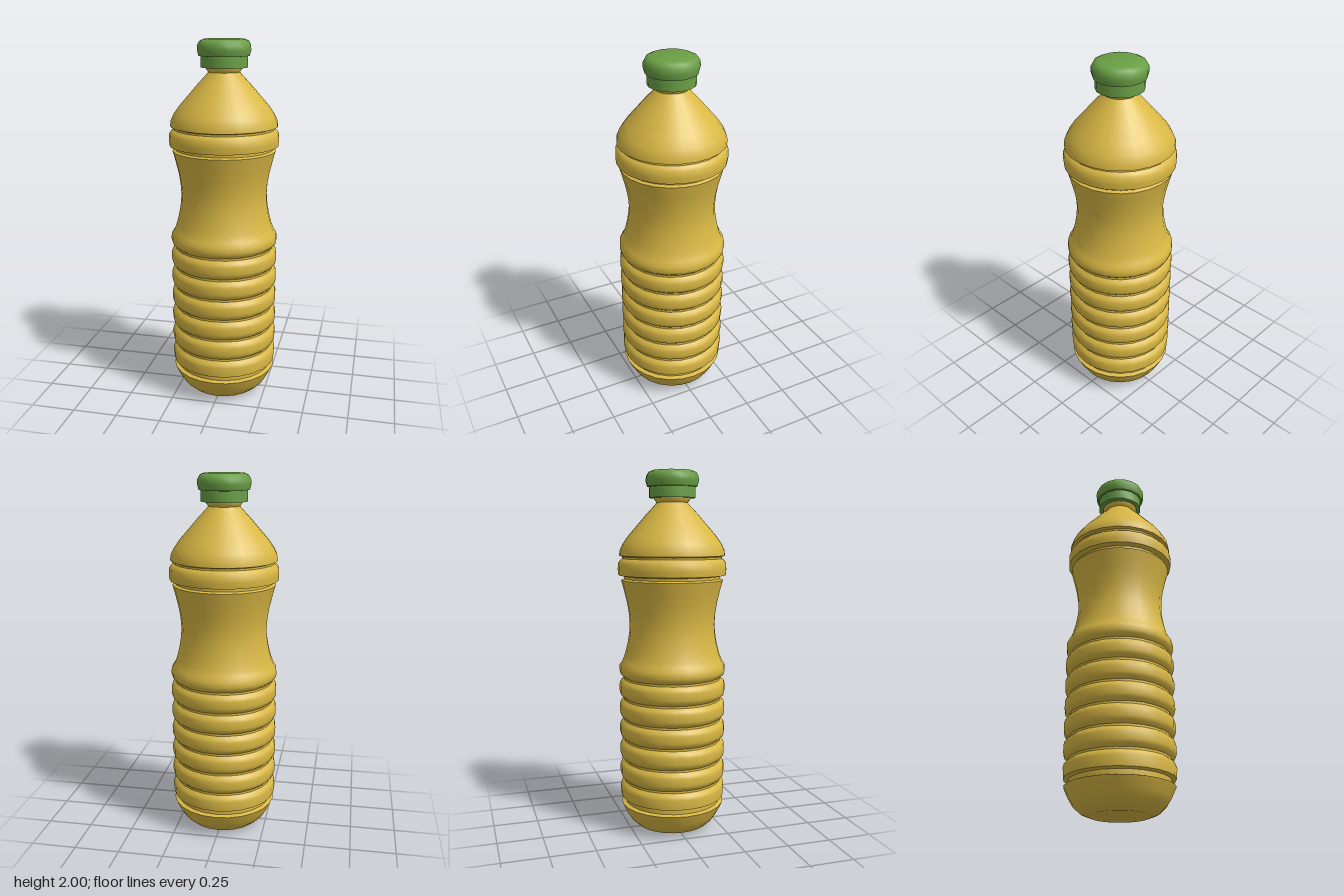
import * as THREE from 'three';
import { toCreasedNormals } from 'three/addons/utils/BufferGeometryUtils.js';

// Turned part from [radius, height] pairs, listed bottom to top
function turned(name, profile, sides, material) {
  const points = profile.map(([r, y]) => new THREE.Vector2(r, y));
  const geometry = toCreasedNormals(new THREE.LatheGeometry(points, sides), 0.75);
  const mesh = new THREE.Mesh(geometry, material);
  mesh.name = name;
  return mesh;
}

export function createModel() {
  const group = new THREE.Group();
  group.name = 'bottle';
  const yellow = new THREE.MeshStandardMaterial({ color: 0xd9b844 });
  const green = new THREE.MeshStandardMaterial({ color: 0x6a9f45 });

  // Rounded base and the groove above it
  const base = [
    [0, 0.01], [0.1, 0.005], [0.16, 0], [0.205, 0.018], [0.24, 0.05],
    [0.265, 0.09], [0.291, 0.145], [0.268, 0.152], [0.268, 0.178], [0.293, 0.185],
  ];

  // Grip ribs separated by shallow grooves
  const ribs = [];
  for (let i = 0; i < 6; i++) {
    const y = 0.28 + i * 0.118;
    ribs.push([0.297, y - 0.04], [0.292, y - 0.022], [0.274, y - 0.006],
      [0.274, y + 0.006], [0.292, y + 0.022], [0.297, y + 0.04]);
  }

  // Narrow waist
  const waist = [
    [0.295, 0.94], [0.28, 0.962], [0.265, 1.0], [0.25, 1.06], [0.24, 1.12], [0.237, 1.17],
    [0.241, 1.23], [0.251, 1.29], [0.268, 1.36], [0.282, 1.412],
  ];

  // Raised band between two grooves
  const band = [
    [0.266, 1.42], [0.266, 1.434], [0.297, 1.44], [0.3, 1.47], [0.298, 1.505],
    [0.286, 1.522], [0.275, 1.53], [0.275, 1.54],
  ];

  // Conical shoulder and flared neck
  const shoulder = [
    [0.292, 1.546], [0.288, 1.575], [0.272, 1.61], [0.24, 1.655], [0.19, 1.712],
    [0.14, 1.77], [0.1, 1.812], [0.085, 1.83], [0.1, 1.852], [0.1, 1.87],
  ];
  group.add(turned('bottleBody', [...base, ...ribs, ...waist, ...band, ...shoulder], 24, yellow));

  // Screw cap with its lower ring
  group.add(turned('capRing',
    [[0.09, 1.855], [0.127, 1.855], [0.127, 1.92]], 16, green));
  group.add(turned('cap', [
    [0.12, 1.913], [0.137, 1.915], [0.145, 1.945], [0.143, 1.97],
    [0.132, 1.99], [0.11, 2], [0, 2],
  ], 16, green));
  return group;
}
